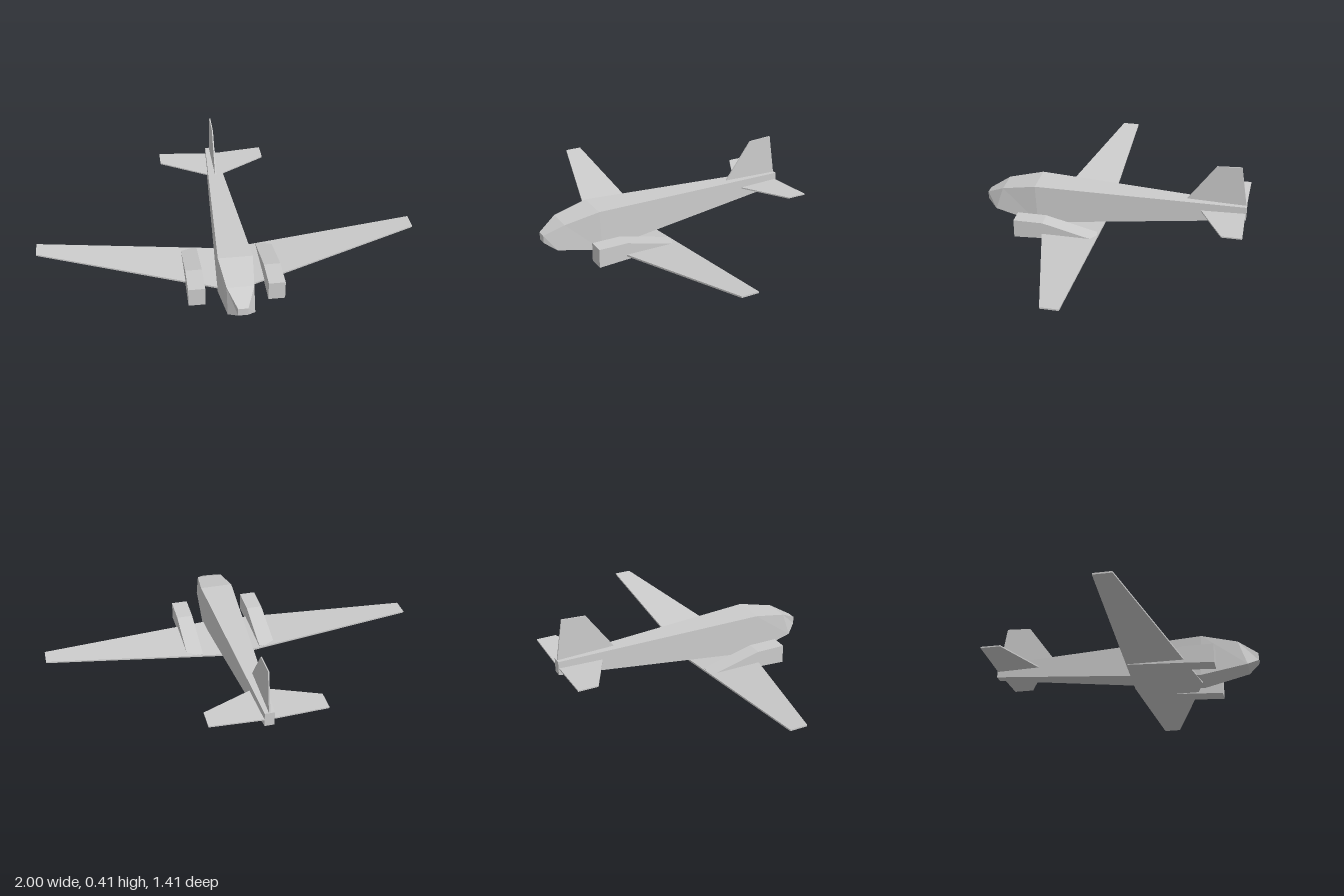
import * as THREE from 'three';

const material = new THREE.MeshStandardMaterial({ color: 0xcccccc, flatShading: true });

// Faceted solid through four-cornered sections, each wound counter-clockwise about the direction of travel
function loft(name, sections) {
  const pos = [];
  const quad = (a, b, c, d) => pos.push(...a, ...b, ...c, ...a, ...c, ...d);
  for (let s = 0; s < sections.length - 1; s++) {
    const a = sections[s], b = sections[s + 1];
    for (let i = 0; i < 4; i++) {
      const j = (i + 1) % 4;
      quad(a[i], a[j], b[j], b[i]);
    }
  }
  quad(...[...sections[0]].reverse());
  quad(...sections[sections.length - 1]);
  const geo = new THREE.BufferGeometry();
  geo.setAttribute('position', new THREE.Float32BufferAttribute(pos, 3));
  geo.computeVertexNormals();
  const mesh = new THREE.Mesh(geo, material);
  mesh.name = name;
  return mesh;
}

// Section of a body running along z; its bottom and top edges may sit at different z
const bodySection = (x, w, y0, z0, y1, z1, wTop = w) =>
  [[x - w, y0, z0], [x + w, y0, z0], [x + wTop, y1, z1], [x - wTop, y1, z1]];

// Section of a flying surface running along x
const wingSection = (x, y0, y1, back, front) =>
  [[x, y0, back], [x, y1, back], [x, y1, front], [x, y0, front]];

// Section of the fin running up y; its front and back may sit at different heights
const finSection = (t, back, yBack, front, yFront) =>
  [[-t, yBack, back], [-t, yFront, front], [t, yFront, front], [t, yBack, back]];

export function createModel() {
  const plane = new THREE.Group();
  plane.name = 'airplane';

  // Fuselage from tail to nose
  plane.add(loft('fuselage', [
    bodySection(0, 0.025, 0.12, -0.705, 0.195, -0.705),
    bodySection(0, 0.088, 0.01, 0.41, 0.23, 0.42),
    bodySection(0, 0.068, 0.06, 0.65, 0.19, 0.605),
    bodySection(0, 0.025, 0.095, 0.705, 0.135, 0.705),
  ]));

  // Swept wing with dihedral
  plane.add(loft('wing', [
    wingSection(-1, 0.126, 0.134, 0.053, 0.145),
    wingSection(0, 0, 0.01, 0.053, 0.41),
    wingSection(1, 0.126, 0.134, 0.053, 0.145),
  ]));

  // Engine nacelles, tapering back into the wing
  for (const side of [1, -1]) {
    plane.add(loft(side > 0 ? 'leftNacelle' : 'rightNacelle', [
      bodySection(side * 0.203, 0.043, 0.028, 0.06, 0.034, 0.06),
      bodySection(side * 0.203, 0.043, 0.014, 0.34, 0.105, 0.34),
      bodySection(side * 0.203, 0.043, 0.005, 0.497, 0.105, 0.497),
    ]));
  }

  // Tailplane
  plane.add(loft('tailplane', [
    wingSection(-0.3, 0.168, 0.175, -0.706, -0.6),
    wingSection(0, 0.15, 0.157, -0.7, -0.45),
    wingSection(0.3, 0.168, 0.175, -0.706, -0.6),
  ]));

  // Fin, rooted inside the tail
  plane.add(loft('fin', [
    finSection(0.004, -0.703, 0.185, -0.38, 0.19),
    finSection(0.003, -0.667, 0.415, -0.537, 0.408),
  ]));

  return plane;
}
